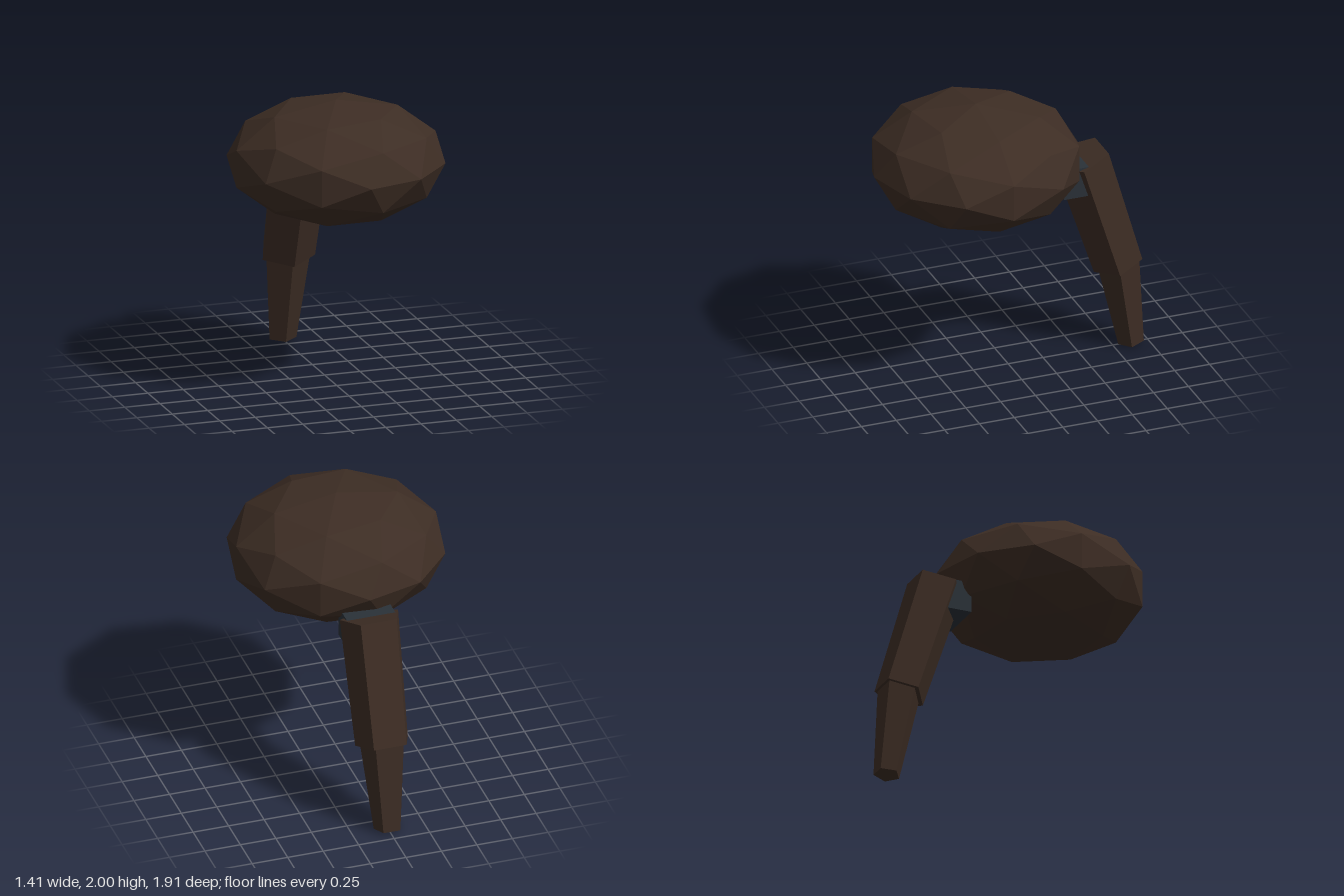
import * as THREE from 'three';

const brown = new THREE.MeshStandardMaterial({ color: 0x3d2d24, flatShading: true });
const slate = new THREE.MeshStandardMaterial({ color: 0x2a3138, flatShading: true });

// Five-sided tapered limb segment running between two points in the x = 0 plane
function limb(name, [yTop, zTop], [yBot, zBot], rTop, rBot) {
  const dy = yTop - yBot, dz = zTop - zBot;
  const mesh = new THREE.Mesh(new THREE.CylinderGeometry(rTop, rBot, Math.hypot(dy, dz), 5), brown);
  mesh.name = name;
  mesh.scale.z = 0.9;
  mesh.position.set(0, (yTop + yBot) / 2, (zTop + zBot) / 2);
  mesh.rotation.x = Math.atan2(dz, dy);
  return mesh;
}

export function createModel() {
  const model = new THREE.Group();
  model.name = 'bodyWithLeg';

  // Faceted ellipsoid body, one icosahedron corner pointing forward
  const ball = new THREE.IcosahedronGeometry(1, 1);
  ball.rotateX(Math.atan(2 / (1 + Math.sqrt(5))));
  ball.rotateZ(Math.PI / 2);
  ball.scale(0.74, 0.417, 0.729);
  const body = new THREE.Mesh(ball, brown);
  body.name = 'body';
  body.position.set(0, 1.583, 0.233);
  model.add(body);

  // Block joining the leg to the body
  const hip = new THREE.Mesh(new THREE.BoxGeometry(0.34, 0.216, 0.188), slate);
  hip.name = 'hipJoint';
  hip.position.set(0, 1.358, -0.429);
  model.add(hip);

  // Leg segments
  model.add(limb('upperLeg', [1.469, -0.523], [0.63, -0.783], 0.216, 0.195));
  model.add(limb('lowerLeg', [0.65, -0.785], [0.017, -0.879], 0.165, 0.1));

  return model;
}
